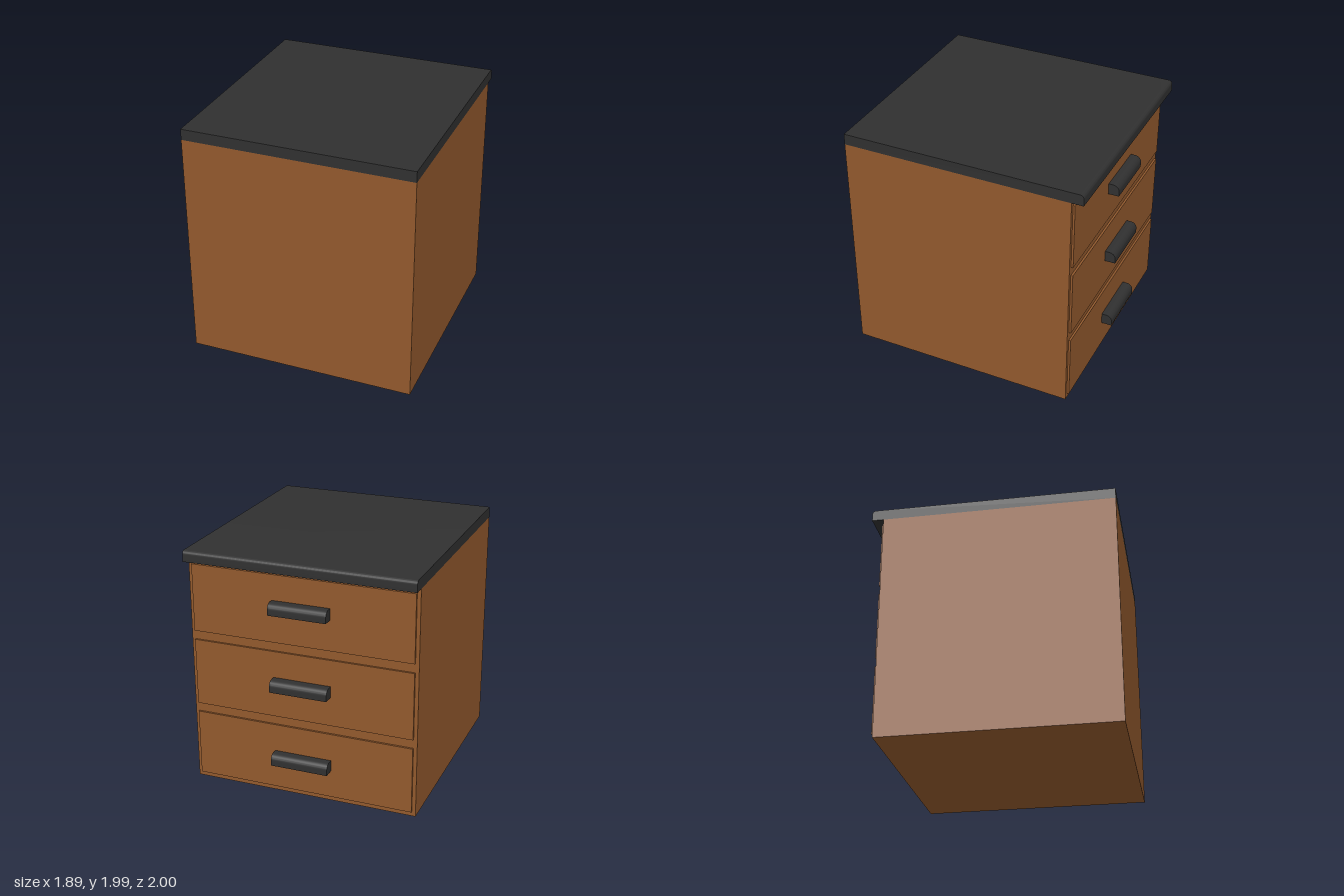
import * as THREE from 'three';
import { toCreasedNormals } from 'three/addons/utils/BufferGeometryUtils.js';

const wood = new THREE.MeshStandardMaterial({ color: 0x92592d });
wood.name = 'brown wood';
const black = new THREE.MeshStandardMaterial({ color: 0x303030 });
black.name = 'charcoal';

// Box given by its minimum and maximum corners
function box(name, material, [x0, y0, z0], [x1, y1, z1]) {
  const geometry = new THREE.BoxGeometry(x1 - x0, y1 - y0, z1 - z0);
  geometry.translate((x0 + x1) / 2, (y0 + y1) / 2, (z0 + z1) / 2);
  const mesh = new THREE.Mesh(geometry, material);
  mesh.name = name;
  return mesh;
}

// Side profile (distance toward the back, height) extruded across x
function across(name, shape, x0, x1) {
  let geometry = new THREE.ExtrudeGeometry(shape, { depth: x1 - x0, bevelEnabled: false, curveSegments: 6 });
  geometry.translate(0, 0, x0);
  geometry.rotateY(Math.PI / 2);
  geometry = toCreasedNormals(geometry, 0.6);
  const mesh = new THREE.Mesh(geometry, black);
  mesh.name = name;
  return mesh;
}

// Hollow pull, open underneath, with a rounded upper outer edge
function createHandle(y) {
  const w = 0.24, t = 0.015, h = 0.093;
  const shell = new THREE.Shape();
  shell.moveTo(0.91, h - t);
  shell.lineTo(0.95, h - t);
  shell.absarc(0.95, h - 0.05, 0.05 - t, Math.PI / 2, 0, true);
  shell.lineTo(1 - t, 0);
  shell.lineTo(1, 0);
  shell.lineTo(1, h - 0.05);
  shell.absarc(0.95, h - 0.05, 0.05, 0, Math.PI / 2, false);
  shell.lineTo(0.91, h);

  const cap = new THREE.Shape();
  cap.moveTo(0.91, 0);
  cap.lineTo(1, 0);
  cap.lineTo(1, h - 0.05);
  cap.absarc(0.95, h - 0.05, 0.05, 0, Math.PI / 2, false);
  cap.lineTo(0.91, h);

  const handle = new THREE.Group();
  handle.name = 'handle';
  handle.add(
    across('handleGrip', shell, -w + t, w - t),
    across('handleEndRight', cap, -w, -w + t),
    across('handleEndLeft', cap, w - t, w)
  );
  handle.position.y = y;
  return handle;
}

export function createModel() {
  const model = new THREE.Group();
  model.name = 'drawerCabinet';

  // Cabinet body
  model.add(box('body', wood, [-0.945, 0, -0.895], [0.945, 1.9, 1]));

  // Worktop overhanging the drawers, with a rounded lip
  const top = new THREE.Shape();
  top.moveTo(-1, 1.9);
  top.lineTo(0.99, 1.9);
  top.lineTo(0.99, 1.96);
  top.absarc(0.96, 1.96, 0.03, 0, Math.PI / 2, false);
  top.lineTo(-1, 1.99);
  model.add(across('worktop', top, -0.945, 0.945));

  // Three drawers with pulls
  for (let i = 0; i < 3; i++) {
    const y = 0.04 + i * 0.633;
    const drawer = new THREE.Group();
    drawer.name = 'drawer';
    drawer.add(box('drawerFront', wood, [-0.915, y, -0.912], [0.915, y + 0.557, -0.895]));
    drawer.add(createHandle(0.273 + i * 0.644));
    model.add(drawer);
  }
  return model;
}
